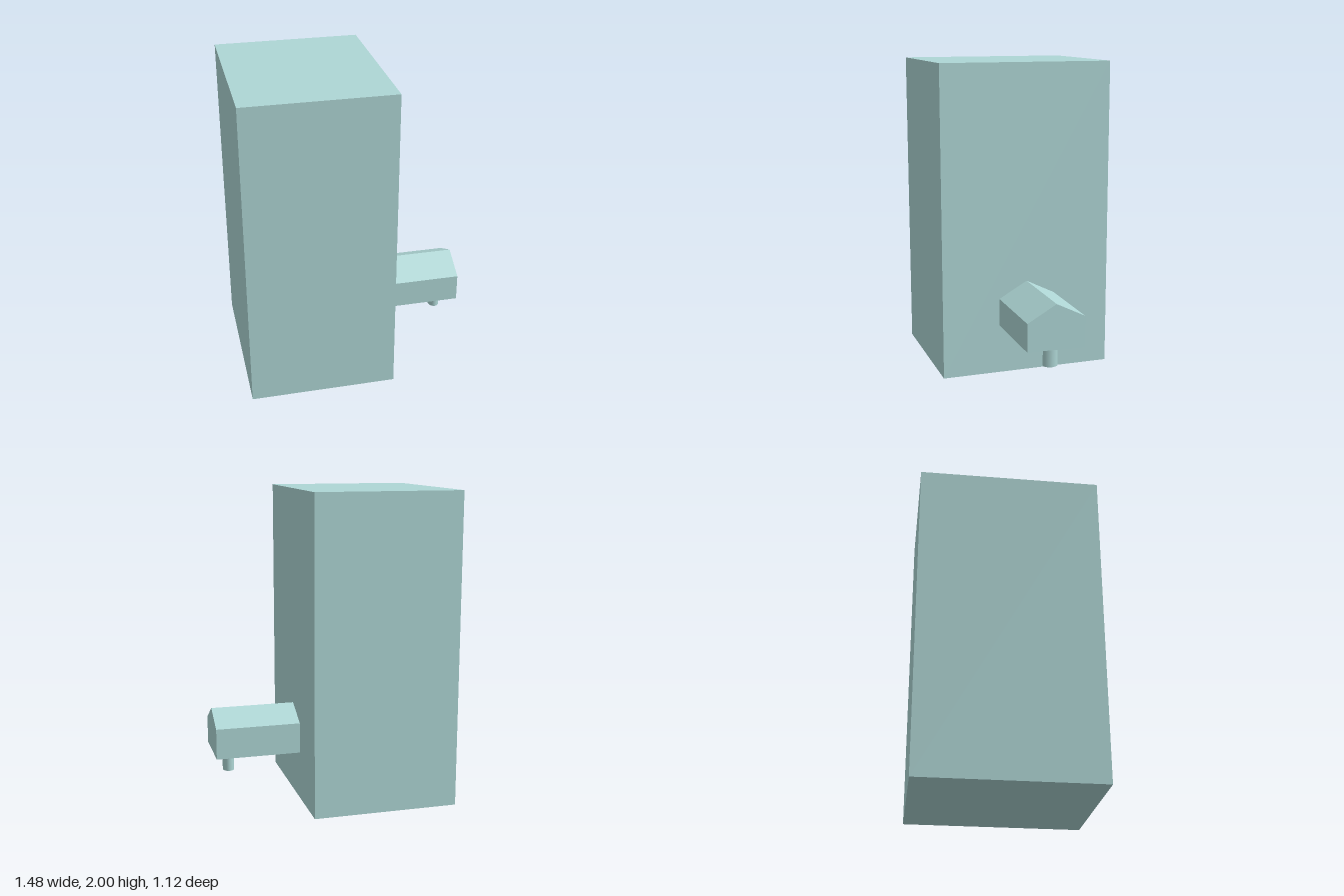
import * as THREE from 'three';

export function createModel() {
  const group = new THREE.Group();
  const paleTeal = new THREE.MeshStandardMaterial({ color: 0xaed6d5 });
  paleTeal.name = 'paleTeal';

  function add(name, geometry, x, y, z) {
    const mesh = new THREE.Mesh(geometry, paleTeal);
    mesh.name = name;
    mesh.position.set(x, y, z);
    group.add(mesh);
    return mesh;
  }

  // Tall main block
  add('mainBlock', new THREE.BoxGeometry(0.933, 2, 1.12), -0.2715, 1, 0);

  // Gabled arm: slightly uneven pentagon (u = -z, v = y) extruded along x
  const gable = new THREE.Shape([
    [-0.185, 0.317], [0.185, 0.311], [0.185, 0.508], [0, 0.6], [-0.185, 0.495],
  ].map(([u, v]) => new THREE.Vector2(u, v)));
  const arm = new THREE.ExtrudeGeometry(gable, { depth: 0.546, bevelEnabled: false });
  arm.rotateY(Math.PI / 2);
  add('gabledArm', arm, 0.192, 0, 0);

  // Oval spout under the arm's outer end
  const spout = new THREE.CylinderGeometry(1, 1, 0.138, 12);
  spout.scale(0.038, 1, 0.048);
  add('spout', spout, 0.634, 0.249, 0);

  return group;
}
